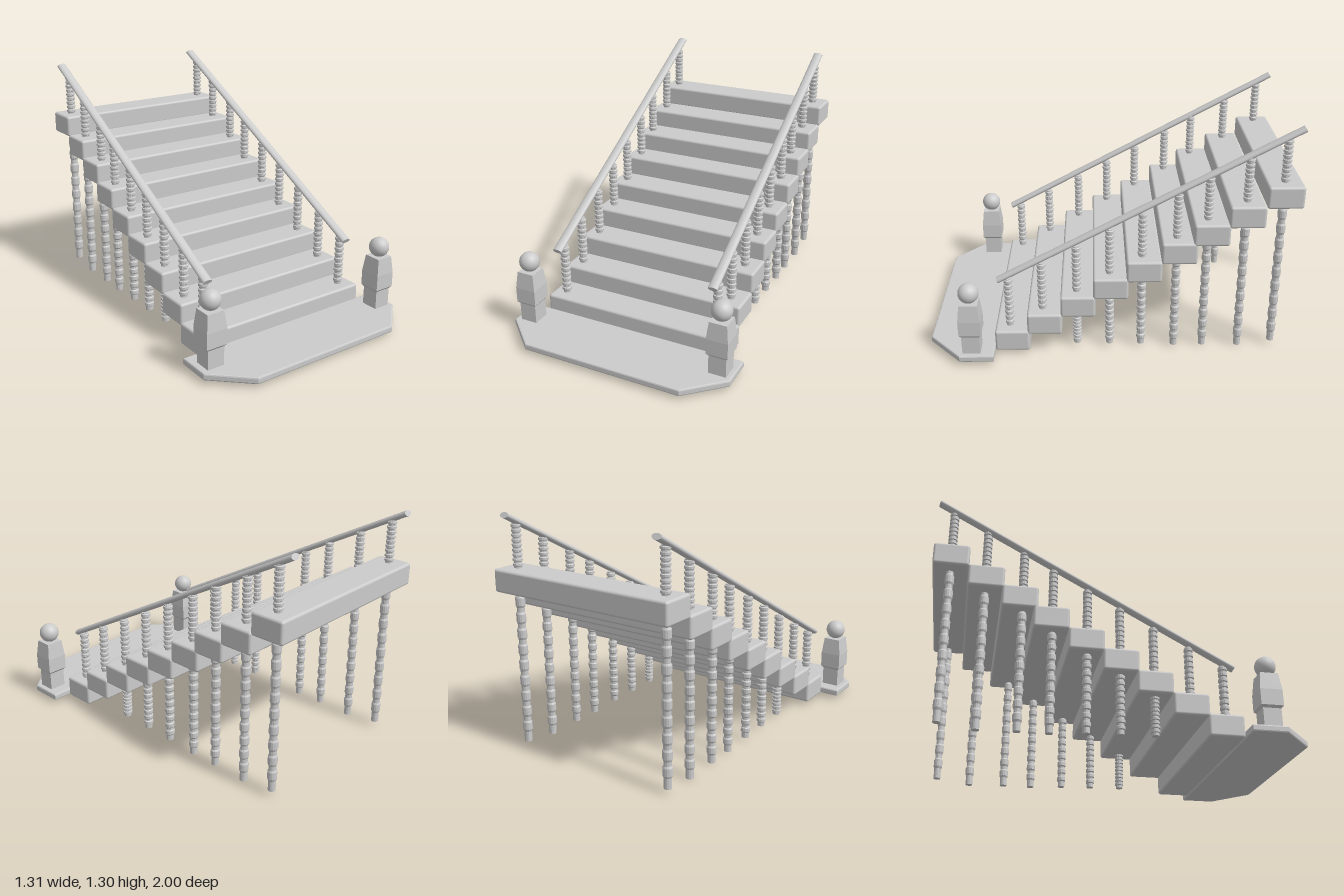
import * as THREE from 'three';
import { RoundedBoxGeometry } from 'three/addons/geometries/RoundedBoxGeometry.js';

const material = new THREE.MeshStandardMaterial({ color: 0xcccccc });

function add(parent, name, geometry, x = 0, y = 0, z = 0) {
  const mesh = new THREE.Mesh(geometry, material);
  mesh.name = name;
  mesh.position.set(x, y, z);
  parent.add(mesh);
  return mesh;
}

// Turned spindle of unit height: a narrow foot, then rings parted by necks
function spindleGeometry() {
  const foot = 0.06, rings = 9, pitch = (1 - foot) / rings;
  const points = [[0, 0], [0.8, 0], [0.8, foot]];
  for (let i = 0; i < rings; i++) {
    const y = foot + i * pitch;
    points.push([0.8, y + 0.01], [1, y + 0.025], [1, y + pitch * 0.7], [0.8, y + pitch * 0.82], [0.8, y + pitch]);
  }
  points.push([0, 1]);
  const geometry = new THREE.LatheGeometry(points.map(([r, y]) => new THREE.Vector2(r, y)), 14).toNonIndexed();
  geometry.computeVertexNormals();
  return geometry;
}

// Square newel post: four-sided stacked sections, given as [half width, y]
function newelGeometry() {
  const points = [[0, 0.05], [0.049, 0.05], [0.049, 0.165], [0.06, 0.178], [0.06, 0.265], [0.049, 0.36], [0, 0.36]]
    .map(([w, y]) => new THREE.Vector2(w * Math.SQRT2, y));
  const geometry = new THREE.LatheGeometry(points, 4).rotateY(Math.PI / 4).toNonIndexed();
  geometry.computeVertexNormals();
  return geometry;
}

// Landing plate with cut front corners and a small bevel
function landingGeometry() {
  const b = 0.008;
  const shape = new THREE.Shape([
    [-0.655 + b, -0.632 - b], [-0.655 + b, -0.815], [-0.455, -1 + b],
    [0.455, -1 + b], [0.655 - b, -0.815], [0.655 - b, -0.632 - b],
  ].map(([x, y]) => new THREE.Vector2(x, y)));
  return new THREE.ExtrudeGeometry(shape, {
    depth: 0.038 - 2 * b, bevelSize: b, bevelThickness: b, bevelSegments: 2,
  }).rotateX(-Math.PI / 2).translate(0, 0.022 + b, 0);
}

export function createModel() {
  const model = new THREE.Group();
  model.name = 'staircase';

  // [step top, step front z, spindle z, spindle top, support foot]
  const steps = [
    [0.145, 0.632, 0.553, 0.44],
    [0.249, 0.453, 0.37, 0.535],
    [0.358, 0.268, 0.18, 0.635, 0.025],
    [0.468, 0.09, 0, 0.735, 0.02],
    [0.571, -0.09, -0.175, 0.83, 0.015],
    [0.68, -0.275, -0.36, 0.935, 0.005],
    [0.787, -0.442, -0.52, 1.03, 0.005],
    [0.89, -0.622, -0.72, 1.135, 0],
    [1.0, -0.81, -0.907, 1.235, 0.027],
  ];
  const height = 0.123, depth = 0.19;
  const stepGeometry = new RoundedBoxGeometry(1.1, height, depth, 3, 0.014);
  const spindle = spindleGeometry();

  const placeSpindle = (name, x, z, bottom, top) =>
    add(model, name, spindle, x, bottom, z).scale.set(0.027, top - bottom, 0.0245);

  steps.forEach(([top, front, z, railY, foot], i) => {
    add(model, `step${i + 1}`, stepGeometry, 0, top - height / 2, front - depth / 2);
    for (const x of [-0.476, 0.467]) {
      placeSpindle('baluster', x, z, top - 0.01, railY);
      if (foot !== undefined) placeSpindle('support', x, z, foot, top - height - (i > 6 ? 0.011 : -0.005));
    }
  });

  // Sloping handrails with an oval section
  const start = new THREE.Vector3(0, 0.425, 0.61), end = new THREE.Vector3(0, 1.285, -0.987);
  const along = end.clone().sub(start);
  for (const x of [-0.487, 0.461]) {
    const rail = add(model, 'handrail', new THREE.CylinderGeometry(1, 1, along.length(), 20),
      x, (start.y + end.y) / 2, (start.z + end.z) / 2);
    rail.scale.set(0.0275, 1, 0.016);
    rail.rotation.x = Math.atan2(along.z, along.y);
  }

  // Landing with a ball-topped newel post on each side
  add(model, 'landing', landingGeometry());
  const newel = newelGeometry();
  const ball = new THREE.SphereGeometry(0.056, 28, 18);
  for (const x of [-0.571, 0.577]) {
    add(model, 'newelPost', newel, x, 0, 0.755);
    add(model, 'newelBall', ball, x, 0.413, 0.755);
  }
  return model;
}
